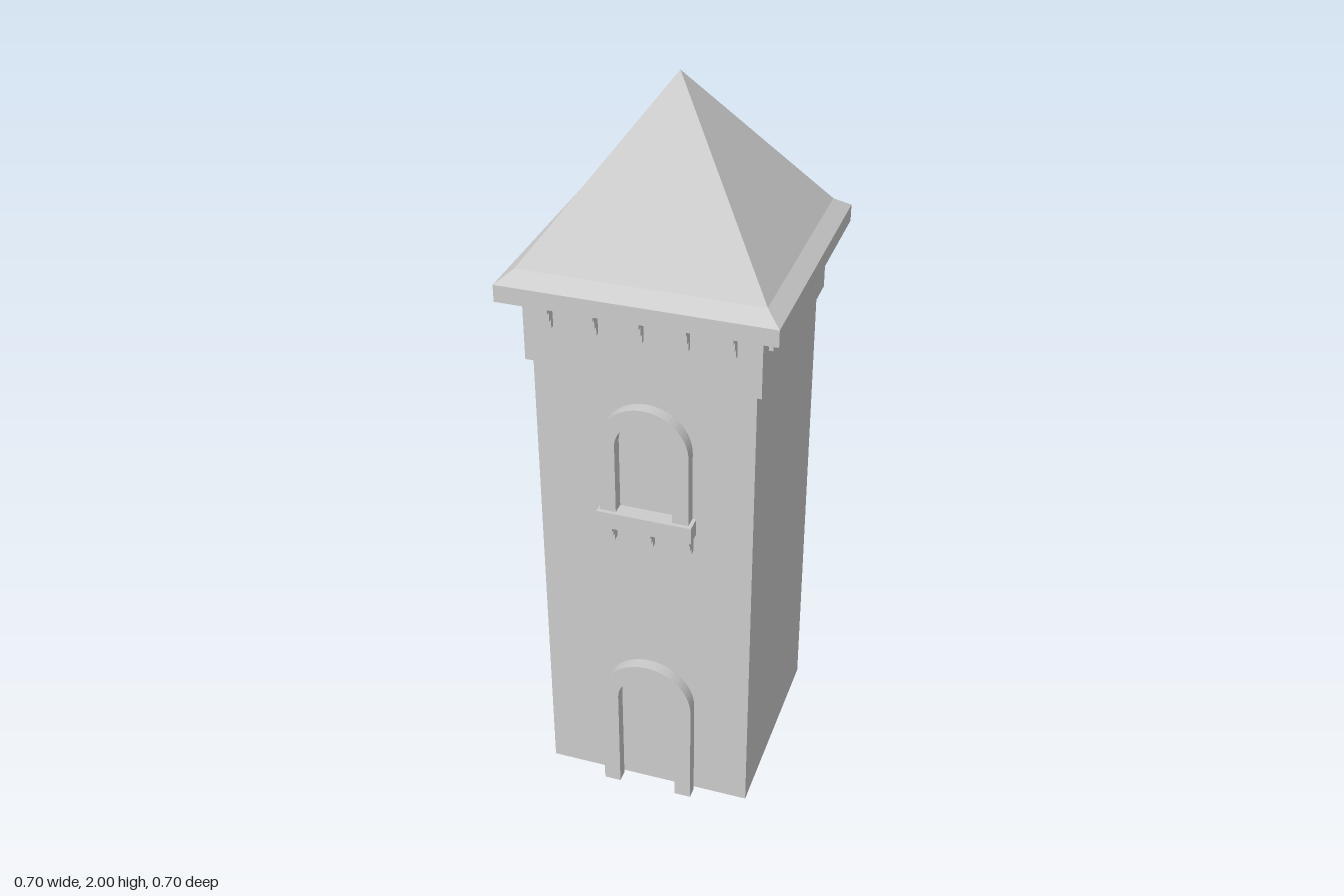
import * as THREE from 'three';

const material = new THREE.MeshStandardMaterial({ color: 0xcccccc, flatShading: true });
const openMaterial = new THREE.MeshStandardMaterial({ color: 0xcccccc, flatShading: true, side: THREE.DoubleSide });

const HALF = 0.285; // half width of the shaft
const BASE = 0.01, SHAFT_TOP = 1.34;

function add(parent, name, geometry, x = 0, y = 0, z = 0, mat = material) {
  const mesh = new THREE.Mesh(geometry, mat);
  mesh.name = name;
  mesh.position.set(x, y, z);
  parent.add(mesh);
  return mesh;
}

// Box spanning y0..y1 and z0..z1, centred on x
function block(parent, name, x, width, y0, y1, z0, z1) {
  return add(parent, name, new THREE.BoxGeometry(width, y1 - y0, z1 - z0), x, (y0 + y1) / 2, (z0 + z1) / 2);
}

// Round-headed opening outline
function archPath(path, x, r, bottom, spring) {
  path.moveTo(x - r, bottom);
  path.lineTo(x + r, bottom);
  path.lineTo(x + r, spring);
  path.absarc(x, spring, r, 0, Math.PI, false);
  path.lineTo(x - r, bottom);
  return path;
}

// Raised arched surround: two legs joined by a half ring
function archFrame(parent, name, x, outer, inner, bottom, spring) {
  const s = new THREE.Shape();
  s.moveTo(x + inner, bottom);
  s.lineTo(x + outer, bottom);
  s.lineTo(x + outer, spring);
  s.absarc(x, spring, outer, 0, Math.PI, false);
  s.lineTo(x - outer, bottom);
  s.lineTo(x - inner, bottom);
  s.lineTo(x - inner, spring);
  s.absarc(x, spring, inner, Math.PI, 0, true);
  s.lineTo(x + inner, bottom);
  const g = new THREE.ExtrudeGeometry(s, { depth: 0.033, bevelEnabled: false, curveSegments: 16 });
  add(parent, name, g, 0, 0, HALF);
}

// Bracket of three steps that grows outward towards the top
function corbel(parent, name, x, width, top, bottom, back, fronts) {
  const group = new THREE.Group();
  group.name = name;
  const step = (top - bottom) / fronts.length;
  fronts.forEach((front, i) =>
    block(group, 'corbelStep', x, width, top - (i + 1) * step, top - i * step, back, front));
  parent.add(group);
}

export function createModel() {
  const tower = new THREE.Group();
  tower.name = 'tower';

  // Hollow shaft, open underneath, with a window opening in the front wall
  const front = new THREE.Shape();
  front.moveTo(-HALF, BASE);
  front.lineTo(HALF, BASE);
  front.lineTo(HALF, SHAFT_TOP);
  front.lineTo(-HALF, SHAFT_TOP);
  front.closePath();
  front.holes.push(archPath(new THREE.Path(), 0.008, 0.075, 0.94, 1.137));
  add(tower, 'frontWall', new THREE.ShapeGeometry(front, 16), 0, 0, HALF, openMaterial);
  const wall = new THREE.PlaneGeometry(2 * HALF, SHAFT_TOP - BASE);
  ['leftWall', 'backWall', 'rightWall'].forEach((name, i) => {
    const a = (i + 1) * Math.PI / 2;
    const mesh = add(tower, name, wall, Math.sin(a) * HALF, (BASE + SHAFT_TOP) / 2, Math.cos(a) * HALF, openMaterial);
    mesh.rotation.y = a;
  });

  // Wider band under the eaves
  block(tower, 'upperBand', 0, 0.6, 1.335, 1.515, -0.3, 0.3);

  // Five corbels on each side of the band
  for (let side = 0; side < 4; side++) {
    const row = new THREE.Group();
    row.name = 'corbelRow';
    row.rotation.y = side * Math.PI / 2;
    const shift = side === 0 ? -0.013 : 0;
    for (let i = -2; i <= 2; i++) {
      corbel(row, 'eavesCorbel', i * 0.115 + shift, 0.042, 1.512, 1.44, 0.295, [0.333, 0.322, 0.311]);
    }
    tower.add(row);
  }

  // Square roof: eaves slab, flared skirt and pyramid
  const profile = [[0, 1.51], [0.35, 1.51], [0.35, 1.555], [0.31, 1.585], [0, 2]]
    .map(([r, y]) => new THREE.Vector2(r * Math.SQRT2, y));
  add(tower, 'roof', new THREE.LatheGeometry(profile, 4, Math.PI / 4));

  // Window surround, sill and sill brackets
  archFrame(tower, 'windowFrame', 0.008, 0.118, 0.075, 0.94, 1.137);
  block(tower, 'windowSill', 0.01, 0.252, 0.893, 0.94, HALF, 0.329);
  for (const x of [-0.093, 0.01, 0.113]) {
    corbel(tower, 'sillCorbel', x, 0.032, 0.895, 0.84, HALF - 0.005, [0.321, 0.312, 0.302]);
  }

  // Door surround on the closed wall
  archFrame(tower, 'doorFrame', 0.0065, 0.127, 0.081, 0, 0.314);

  return tower;
}
